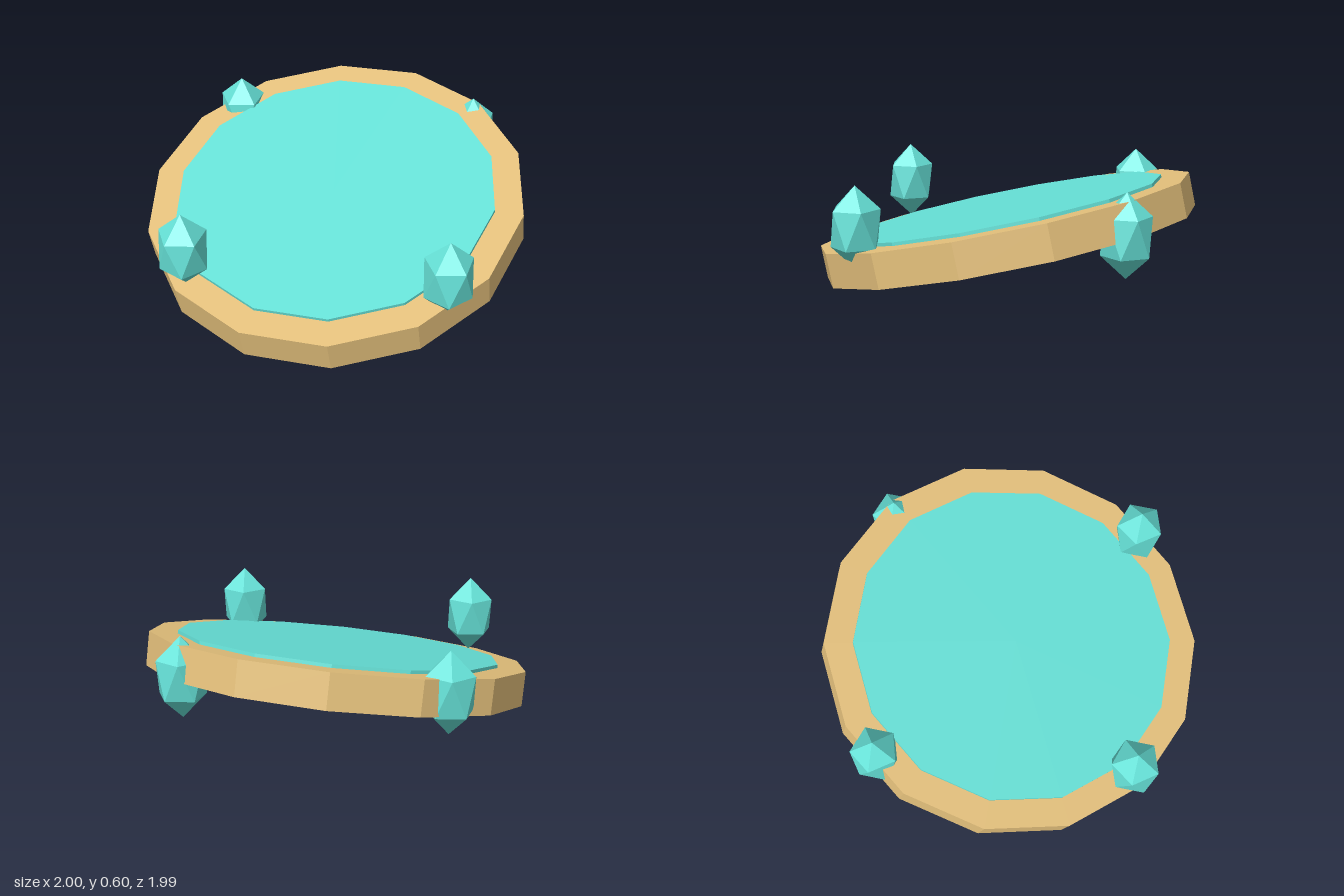
import * as THREE from 'three';

const SIDES = 14;
const sand = new THREE.MeshStandardMaterial({ color: 0xe5c17c, flatShading: true });
const teal = new THREE.MeshStandardMaterial({ color: 0x66e2d8, flatShading: true });

function add(parent, name, geometry, material) {
  const mesh = new THREE.Mesh(geometry, material);
  mesh.name = name;
  parent.add(mesh);
  return mesh;
}

// Icosahedron standing on one corner, stretched upward
function crystalGeometry(radius, halfHeight) {
  const g = new THREE.IcosahedronGeometry(1, 0);
  g.rotateX(-Math.atan((1 + Math.sqrt(5)) / 2));
  g.rotateY(Math.PI / 2);
  g.scale(radius, halfHeight, radius);
  return g;
}

export function createModel() {
  const model = new THREE.Group();
  model.name = 'floatingPlatform';

  // Tilted platform: stone rim with a slightly thicker glowing disc set into it
  const platform = new THREE.Group();
  platform.name = 'platform';
  platform.position.y = 0.293;
  platform.rotation.set(0.2, 0, -0.1);
  add(platform, 'rim', new THREE.CylinderGeometry(0.95, 0.95, 0.17, SIDES), sand);
  add(platform, 'innerDisc', new THREE.CylinderGeometry(0.81, 0.81, 0.203, SIDES), teal);
  model.add(platform);

  // Four upright crystals around the rim
  const crystal = crystalGeometry(0.132, 0.2);
  ['front', 'left', 'back', 'right'].forEach((side, i) => {
    const a = (i * Math.PI) / 2;
    add(model, side + 'Crystal', crystal, teal)
      .position.set(0.882 * Math.sin(a), 0.4, 0.882 * Math.cos(a));
  });

  return model;
}
